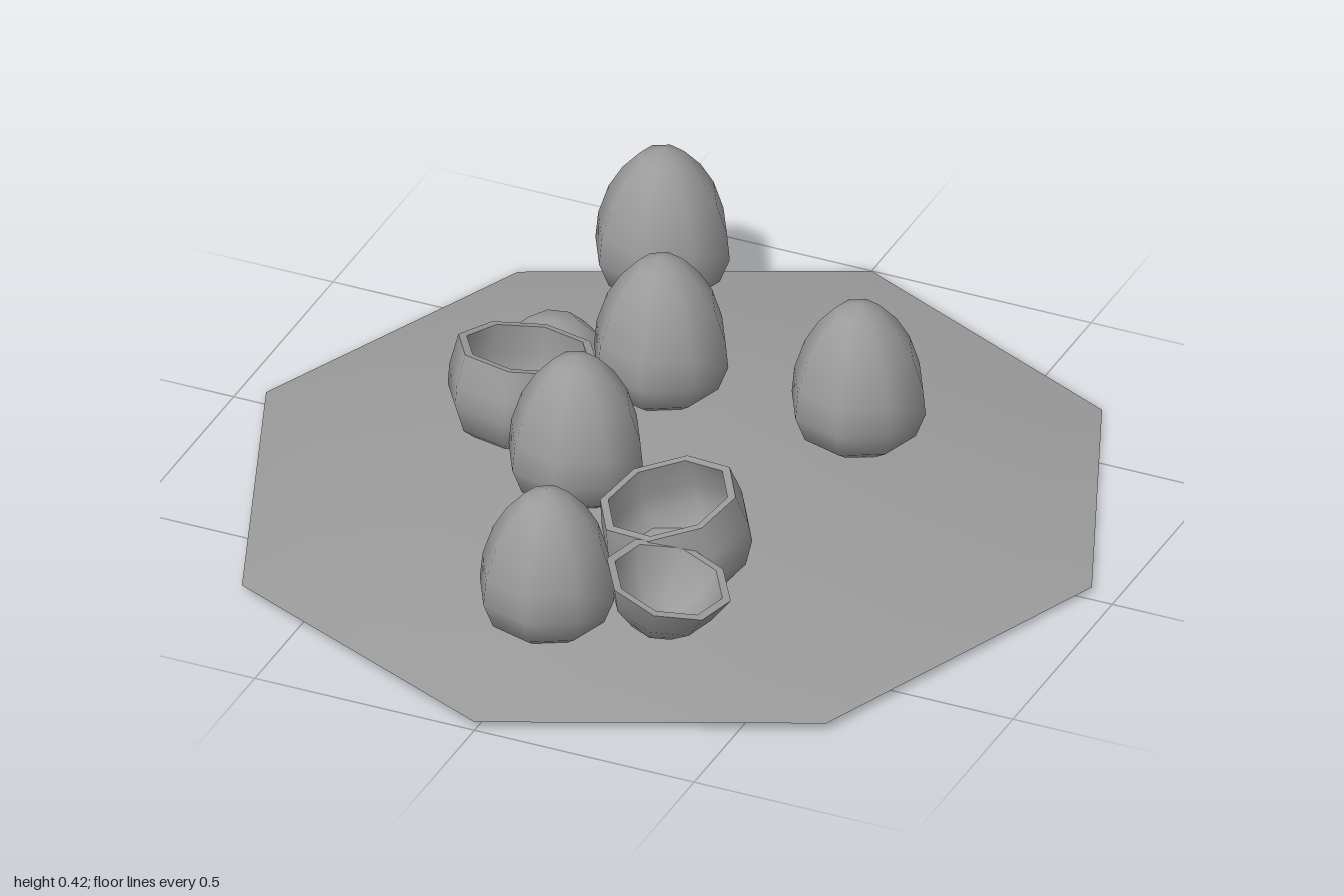
import * as THREE from 'three';
import { toCreasedNormals } from 'three/addons/utils/BufferGeometryUtils.js';

const SIDES = 8;
const COLOR = 0x9b9b9b;
const material = new THREE.MeshStandardMaterial({ color: COLOR });
const thinMaterial = new THREE.MeshStandardMaterial({ color: COLOR, side: THREE.DoubleSide });

// Profiles as [radius, height]; the shells run up the outside and back down the inside
const EGG = [[0, -0.018], [0.075, -0.007], [0.125, 0.028], [0.147, 0.085], [0.141, 0.145],
  [0.118, 0.215], [0.088, 0.266], [0.05, 0.308], [0, 0.328]];
const LOWER_SHELL = [[0, -0.025], [0.08, -0.015], [0.132, 0.015], [0.16, 0.075], [0.162, 0.12],
  [0.15, 0.188], [0.132, 0.188], [0.145, 0.12], [0.142, 0.075], [0.115, 0.025], [0, -0.005]];
const UPPER_SHELL = [[0, 0], [0.06, 0.014], [0.11, 0.065], [0.136, 0.128],
  [0.118, 0.128], [0.095, 0.07], [0.05, 0.03], [0, 0.02]];

// Smooth eight-sided turning with sharp rims
function turned(profile) {
  const points = profile.map(([r, y]) => new THREE.Vector2(r, y));
  return toCreasedNormals(new THREE.LatheGeometry(points, SIDES), 0.95);
}

// Low octagonal mound built from rings, tilted slightly towards the back
function moundGeometry() {
  const rim = [[0, 1], [0.665, 0.7], [0.94, -0.03], [0.665, -0.69],
    [0, -1], [-0.665, -0.69], [-0.94, -0.03], [-0.665, 0.7]];
  const rings = [[0, 0.104], [0.28, 0.099], [0.57, 0.08], [0.86, 0.036], [1, 0.01]];
  const positions = [];
  const index = [];
  for (const [scale, height] of rings) {
    for (const [x, z] of rim) positions.push(x * scale, height + 0.01 * z * scale, z * scale);
  }
  for (let r = 0; r < rings.length - 1; r++) {
    for (let i = 0; i < SIDES; i++) {
      const a = r * SIDES + i;
      const b = r * SIDES + (i + 1) % SIDES;
      const c = a + SIDES;
      const d = b + SIDES;
      if (r > 0) index.push(a, d, b);
      index.push(a, c, d);
    }
  }
  const geometry = new THREE.BufferGeometry();
  geometry.setAttribute('position', new THREE.Float32BufferAttribute(positions, 3));
  geometry.setIndex(index);
  geometry.computeVertexNormals();
  // The centre ring collapses to a point, so its normals are all upright
  for (let i = 0; i < SIDES; i++) geometry.attributes.normal.setXYZ(i, 0, 1, 0);
  return geometry;
}

export function createModel() {
  const model = new THREE.Group();
  model.name = 'eggClutch';

  // Place a part at its base point, turned about its own axis and leaning in x and z
  const place = (name, geometry, [x, y, z], turn, leanX = 0, leanZ = 0) => {
    const mesh = new THREE.Mesh(geometry, material);
    mesh.name = name;
    mesh.position.set(x, y, z);
    mesh.rotation.set(leanZ, turn, -leanX, 'XZY');
    model.add(mesh);
  };

  const mound = new THREE.Mesh(moundGeometry(), thinMaterial);
  mound.name = 'groundMound';
  model.add(mound);

  // Whole eggs
  const egg = turned(EGG);
  [[-0.34, 0.052, -0.7], [-0.14, 0.092, -0.25], [0.31, 0.092, -0.25],
    [-0.14, 0.092, 0.18], [0, 0.055, 0.635]]
    .forEach((base, i) => place(`egg${i + 1}`, egg, base, 0.1));

  // Hatched lower halves standing open, sunk so the ground shows inside
  const lowerShell = turned(LOWER_SHELL);
  place('openShellLeft', lowerShell, [-0.36, 0.068, -0.015], 0.15, 0.03, -0.2);
  place('openShellRight', lowerShell, [0.185, 0.062, 0.335], 0.15, -0.18, 0.14);

  // Broken-off tops: one lying as a bowl, one face down and sunk into the ground
  const upperShell = turned(UPPER_SHELL);
  place('shellTopBowl', upperShell, [0.225, 0.08, 0.592], 0.2, 0.26, 0);
  place('shellTopFaceDown', upperShell, [-0.41, 0.168, -0.3], 0.2, 0, Math.PI + 0.06);

  return model;
}
